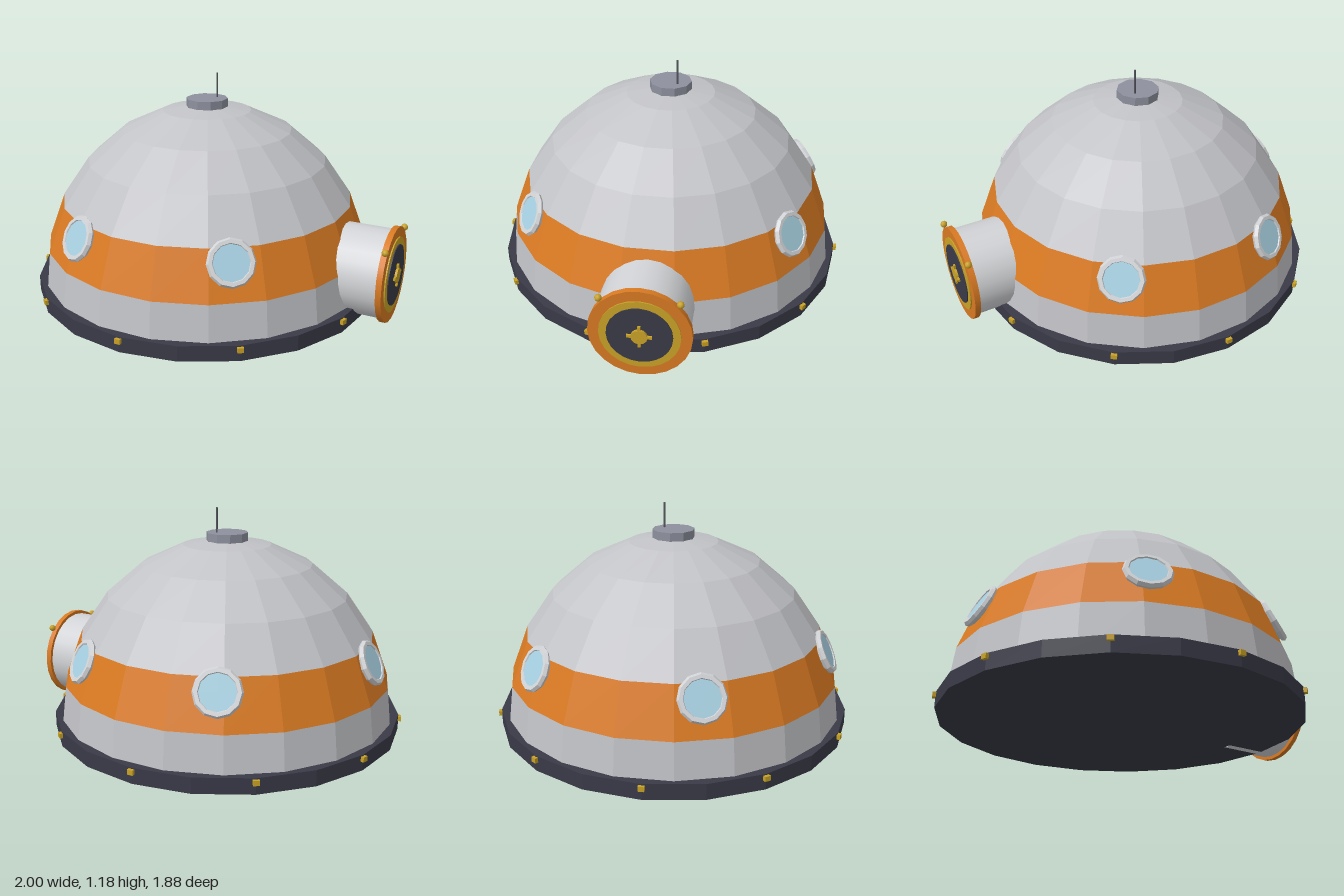
import * as THREE from 'three';

const colours = {
  hull: 0xc2c3c7, stripe: 0xd97a22, base: 0x3a3a48, gold: 0xc9a227,
  glass: 0xa6cfe0, trim: 0xd2d3d6, hatch: 0x8e919e, antenna: 0x55585e,
};

export function createModel() {
  const model = new THREE.Group();
  model.name = 'domeHabitat';
  const mats = {};
  for (const [name, color] of Object.entries(colours)) {
    mats[name] = new THREE.MeshStandardMaterial({ color });
    mats[name].name = name;
  }

  const add = (parent, name, geo, mat, x = 0, y = 0, z = 0) => {
    const mesh = new THREE.Mesh(geo, mats[mat]);
    mesh.name = name;
    mesh.position.set(x, y, z);
    parent.add(mesh);
    return mesh;
  };
  // Faceted normals
  const flat = (geo) => {
    const g = geo.toNonIndexed();
    g.computeVertexNormals();
    return g;
  };

  // Everything round the dome shares its axis
  const dome = new THREE.Group();
  dome.name = 'dome';
  dome.position.x = -0.075;
  model.add(dome);

  add(dome, 'baseRing', flat(new THREE.CylinderGeometry(0.927, 0.927, 0.08, 20)), 'base', 0, 0.06, 0);

  // Shell in six faceted tiers, the second one painted
  const ring = (i) => {
    const a = (i * Math.PI) / 12;
    return { r: 0.9 * Math.cos(a), y: 0.024 + Math.sin(a) };
  };
  for (let i = 0; i < 6; i++) {
    const lo = ring(i), hi = ring(i + 1);
    const top = i === 5 ? 0 : hi.r;
    const geo = new THREE.CylinderGeometry(top, lo.r, hi.y - lo.y, 20, 1, true, Math.PI / 20);
    add(dome, i === 1 ? 'stripe' : 'shellTier', flat(geo), i === 1 ? 'stripe' : 'hull', 0, (lo.y + hi.y) / 2, 0);
  }

  // Roof hatch and antenna
  add(dome, 'roofHatch', flat(new THREE.CylinderGeometry(0.11, 0.11, 0.05, 10)), 'hatch', 0, 1.027, 0);
  add(dome, 'antenna', new THREE.CylinderGeometry(0.005, 0.005, 0.14, 6), 'antenna', 0.04, 1.112, -0.04);

  // Bolts round the base
  for (let i = 0; i < 10; i++) {
    const a = (i * Math.PI) / 5;
    const bolt = add(dome, 'baseBolt', new THREE.BoxGeometry(0.03, 0.025, 0.03), 'gold',
      0.927 * Math.sin(a), 0.082, 0.927 * Math.cos(a));
    bolt.rotation.y = a;
  }

  // Round windows, leaning back with the shell
  for (const deg of [55.5, 115, 180, -115, -55.5]) {
    const a = THREE.MathUtils.degToRad(deg);
    const win = new THREE.Group();
    win.name = 'window';
    win.position.set(0.808 * Math.cos(a), 0.462, -0.808 * Math.sin(a));
    win.rotation.set(THREE.MathUtils.degToRad(-25), a + Math.PI / 2, 0, 'YXZ');
    add(win, 'windowRim', flat(new THREE.TorusGeometry(0.1, 0.018, 6, 12)), 'trim');
    const pane = new THREE.CylinderGeometry(0.1, 0.1, 0.03, 12).rotateX(Math.PI / 2);
    add(win, 'windowGlass', flat(pane), 'glass', 0, 0, -0.005);
    dome.add(win);
  }

  // Airlock on the left side, stacked outwards along x
  const airlock = new THREE.Group();
  airlock.name = 'airlock';
  airlock.position.y = 0.247;
  model.add(airlock);
  const disc = (name, mat, r, x0, x1, sides = 24) => add(airlock, name,
    new THREE.CylinderGeometry(r, r, x1 - x0, sides).rotateZ(-Math.PI / 2), mat, (x0 + x1) / 2, 0, 0);
  disc('airlockTube', 'trim', 0.23, 0.62, 0.955);
  disc('airlockFlange', 'stripe', 0.247, 0.948, 0.977);
  disc('doorRing', 'gold', 0.194, 0.97, 0.983);
  disc('door', 'base', 0.157, 0.97, 0.988);
  disc('doorHub', 'gold', 0.04, 0.985, 1.0, 12);
  for (let i = 0; i < 2; i++) {
    const bar = add(airlock, 'doorHandle', new THREE.BoxGeometry(0.011, 0.12, 0.014), 'gold', 0.993, 0, 0);
    bar.rotation.x = (i * Math.PI) / 2;
  }
  for (const s of [-1, 1]) {
    add(airlock, 'airlockLamp', new THREE.SphereGeometry(0.018, 8, 6), 'gold', 0.97, 0.188, s * 0.188);
  }
  return model;
}
